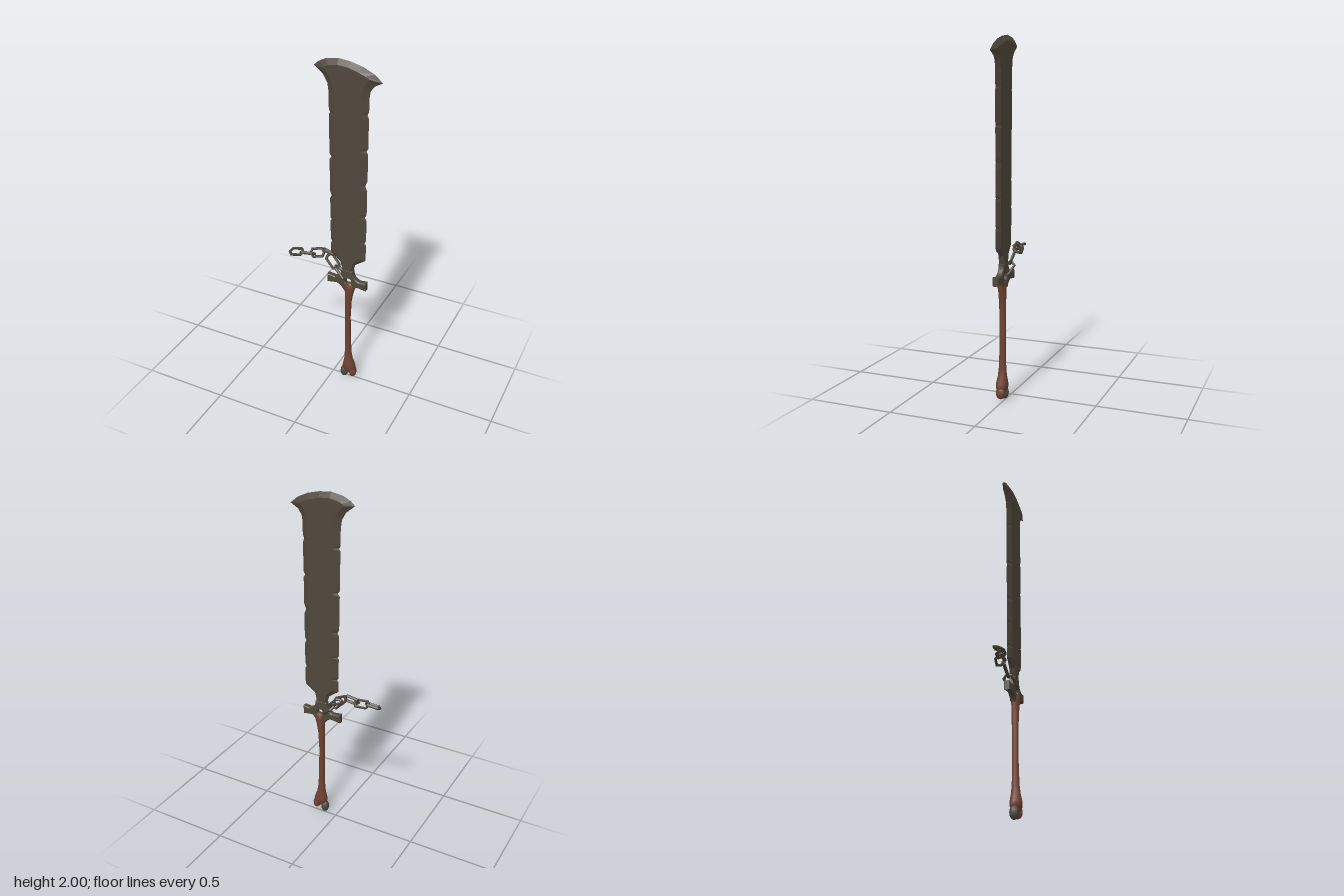
import * as THREE from 'three';

const steel = new THREE.MeshStandardMaterial({ color: 0x50473b });
steel.name = 'dark steel';
steel.flatShading = true;
const iron = new THREE.MeshStandardMaterial({ color: 0x484136 });
iron.name = 'chain iron';
iron.flatShading = true;
const bone = new THREE.MeshStandardMaterial({ color: 0x704232 });
bone.name = 'brown bone';
const ash = new THREE.MeshStandardMaterial({ color: 0x4a483f });
ash.name = 'grey bone end';

const MID = 0.008; // z of the blade's middle plane

function add(group, name, geometry, material) {
  const mesh = new THREE.Mesh(geometry, material);
  mesh.name = name;
  group.add(mesh);
  return mesh;
}

// Points with worn nicks along one long edge: [edge x, y, face x, y]
function wornEdge(xTop, xBottom, side, nicks) {
  const points = [];
  for (const [y, depth, height] of nicks) {
    const x = THREE.MathUtils.mapLinear(y, 1.82, 0.865, xTop, xBottom);
    const face = x - side * 0.034;
    points.push([x, y + height, face, y + height]);
    points.push([x - side * depth, y, face - side * depth * 0.5, y]);
    points.push([x, y - height, face, y - height]);
  }
  return points;
}

// Flat faces joined to a sharp outline by bevels
function bladeGeometry() {
  const outline = [
    [-0.105, 1.945, -0.05, 1.94], [-0.055, 1.905, -0.022, 1.915], [-0.032, 1.865, 0.0, 1.88], [-0.025, 1.82, 0.009, 1.82],
    ...wornEdge(-0.025, -0.012, -1, [[1.71, 0.008, 0.012], [1.46, 0.012, 0.015], [1.23, 0.01, 0.02], [1.08, 0.008, 0.01], [0.94, 0.008, 0.012]]),
    [-0.012, 0.865, 0.022, 0.875], [0.02, 0.842, 0.038, 0.855], [0.046, 0.82, 0.057, 0.83], [0.058, 0.78, 0.068, 0.78], [0.05, 0.74, 0.065, 0.74],
    [0.136, 0.74, 0.121, 0.74], [0.128, 0.78, 0.118, 0.78], [0.138, 0.82, 0.129, 0.83], [0.166, 0.842, 0.148, 0.855], [0.2, 0.865, 0.166, 0.875],
    ...wornEdge(0.2, 0.2, 1, [[1.73, 0.008, 0.02], [1.53, 0.01, 0.015], [1.33, 0.012, 0.03], [1.14, 0.01, 0.02], [0.98, 0.008, 0.015]]).reverse(),
    [0.2, 1.82, 0.166, 1.82], [0.205, 1.855, 0.174, 1.875], [0.225, 1.885, 0.192, 1.905], [0.27, 1.91, 0.21, 1.922],
    [0.225, 1.947, 0.18, 1.935], [0.165, 1.975, 0.14, 1.95], [0.1, 1.992, 0.09, 1.965], [0.03, 2.0, 0.03, 1.97], [-0.04, 1.988, -0.02, 1.96], [-0.08, 1.968, -0.04, 1.952],
  ];
  const n = outline.length;
  const inner = outline.map((p) => new THREE.Vector2(p[2], p[3]));
  const caps = THREE.ShapeUtils.triangulateShape(inner, []);
  const vertices = [];
  const index = [];
  for (const [x, y] of outline) vertices.push(x, y, MID);
  for (const z of [MID + 0.016, MID - 0.016]) for (const p of inner) vertices.push(p.x, p.y, z);
  for (let i = 0; i < n; i++) {
    const j = (i + 1) % n;
    index.push(i, j, n + j, i, n + j, n + i);
    index.push(j, i, 2 * n + i, j, 2 * n + i, 2 * n + j);
  }
  for (const [a, b, c] of caps) index.push(n + a, n + b, n + c, 2 * n + c, 2 * n + b, 2 * n + a);
  const geometry = new THREE.BufferGeometry();
  geometry.setAttribute('position', new THREE.Float32BufferAttribute(vertices, 3));
  geometry.setIndex(index);
  const flat = geometry.toNonIndexed();
  flat.computeVertexNormals();
  return flat;
}

// Winged guard with an eye for the chain
function guardGeometry() {
  const s = new THREE.Shape();
  s.moveTo(-0.03, 0.67);
  s.lineTo(0.03, 0.678);
  s.quadraticCurveTo(0.06, 0.67, 0.072, 0.64);
  s.lineTo(0.128, 0.64);
  s.quadraticCurveTo(0.135, 0.67, 0.155, 0.678);
  s.lineTo(0.21, 0.67);
  s.lineTo(0.21, 0.722);
  s.lineTo(0.17, 0.718);
  s.quadraticCurveTo(0.128, 0.73, 0.128, 0.78);
  s.lineTo(0.058, 0.78);
  s.quadraticCurveTo(0.058, 0.73, 0.02, 0.716);
  s.lineTo(-0.03, 0.722);
  s.closePath();
  const eye = new THREE.Path();
  eye.absellipse(0.1, 0.705, 0.021, 0.021, 0, Math.PI * 2, true);
  s.holes.push(eye);
  const g = new THREE.ExtrudeGeometry(s, {
    depth: 0.024, bevelEnabled: true, bevelSegments: 1, bevelSize: 0.005, bevelOffset: -0.005, bevelThickness: 0.005, curveSegments: 6,
  });
  g.translate(0, 0, MID - 0.012);
  return g;
}

// Bone shaft from oval sections: [y, centre x, radius x, radius z]
function shaftGeometry() {
  const sections = [
    [0.045, 0.108, 0.026, 0.018], [0.075, 0.109, 0.042, 0.033], [0.1, 0.108, 0.038, 0.034], [0.14, 0.105, 0.026, 0.026], [0.19, 0.102, 0.02, 0.021],
    [0.3, 0.1, 0.017, 0.018], [0.45, 0.098, 0.016, 0.018], [0.56, 0.1, 0.019, 0.02], [0.62, 0.104, 0.025, 0.022], [0.66, 0.108, 0.032, 0.025], [0.685, 0.11, 0.029, 0.022], [0.694, 0.113, 0.014, 0.012],
  ];
  const g = new THREE.CylinderGeometry(1, 1, 1, 12, sections.length - 1);
  const p = g.attributes.position;
  for (let i = 0; i < p.count; i++) {
    const row = Math.round((p.getY(i) + 0.5) * (sections.length - 1));
    const [y, cx, rx, rz] = sections[row];
    p.setXYZ(i, cx + p.getX(i) * rx, y, MID + 0.003 + p.getZ(i) * rz);
  }
  g.computeVertexNormals();
  return g;
}

function knob(group, name, material, x, y, rx, ry, rz) {
  const mesh = add(group, name, new THREE.SphereGeometry(1, 12, 8), material);
  mesh.position.set(x, y, MID + 0.002);
  mesh.scale.set(rx, ry, rz);
}

// Chain links between end points, each rolled about its own length
function makeChain() {
  const chain = new THREE.Group();
  chain.name = 'chain';
  const links = [
    [[-0.267, 0.815, 0.04], [-0.172, 0.83, 0.025], 0.35],
    [[-0.203, 0.822, 0.03], [-0.105, 0.825, 0.01], -0.5],
    [[-0.145, 0.825, 0.018], [-0.05, 0.85, 0.0], 1.2],
    [[-0.085, 0.855, -0.018], [0.0, 0.82, -0.034], -0.5],
    [[-0.045, 0.835, -0.01], [0.03, 0.755, 0.0], 1.1],
    [[0.005, 0.775, -0.01], [0.088, 0.705, 0.014], -0.3],
  ];
  for (const [a, b, roll] of links) {
    const start = new THREE.Vector3(...a);
    const end = new THREE.Vector3(...b);
    const along = end.clone().sub(start);
    const length = along.length();
    const g = new THREE.TorusGeometry(0.026, 0.0085, 6, 6);
    // Stretch the hexagon into a long link without thickening its bar
    const p = g.attributes.position;
    const stretch = length / 2 - 0.0345;
    for (let i = 0; i < p.count; i++) {
      const x = p.getX(i);
      p.setX(i, x + Math.sign(x) * stretch);
    }
    g.rotateX(Math.PI / 2 + roll);
    const link = add(chain, 'chainLink', g, iron);
    link.position.copy(start).lerp(end, 0.5);
    link.quaternion.setFromUnitVectors(new THREE.Vector3(1, 0, 0), along.normalize());
  }
  return chain;
}

export function createModel() {
  const model = new THREE.Group();
  model.name = 'cleaverSword';
  add(model, 'blade', bladeGeometry(), steel);
  add(model, 'guard', guardGeometry(), steel);

  // Bone handle with two knuckles at its foot
  const handle = new THREE.Group();
  handle.name = 'handle';
  add(handle, 'shaft', shaftGeometry(), bone);
  knob(handle, 'brownKnuckle', bone, 0.134, 0.05, 0.022, 0.036, 0.028);
  knob(handle, 'greyKnuckle', ash, 0.079, 0.037, 0.024, 0.037, 0.026);
  model.add(handle);

  model.add(makeChain());
  return model;
}
